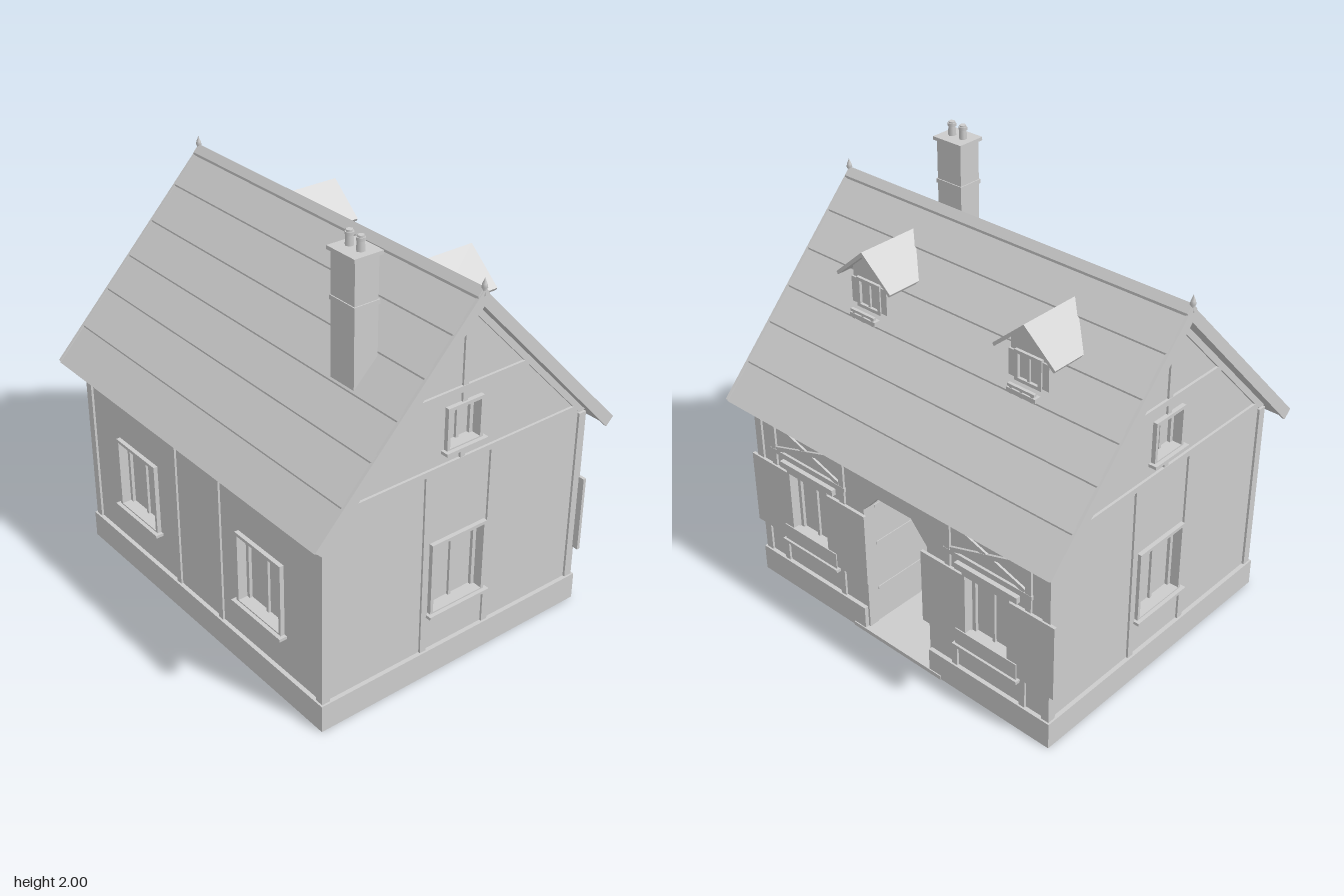
import * as THREE from 'three';

const stone = new THREE.MeshStandardMaterial({ color: 0xcccccc });
stone.name = 'pale grey';

function add(parent, name, geometry, x = 0, y = 0, z = 0) {
  const m = new THREE.Mesh(geometry, stone);
  m.name = name;
  m.position.set(x, y, z);
  parent.add(m);
  return m;
}

// Box given by its limits on each axis
function block(parent, name, x0, x1, y0, y1, z0, z1) {
  return add(parent, name, new THREE.BoxGeometry(x1 - x0, y1 - y0, z1 - z0),
    (x0 + x1) / 2, (y0 + y1) / 2, (z0 + z1) / 2);
}

function extrude(points, depth, holes = []) {
  const toVectors = list => list.map(p => new THREE.Vector2(p[0], p[1]));
  const shape = new THREE.Shape(toVectors(points));
  for (const h of holes) shape.holes.push(new THREE.Path(toVectors(h)));
  return new THREE.ExtrudeGeometry(shape, { depth, bevelEnabled: false });
}

const rect = (x0, x1, y0, y1) => [[x0, y0], [x1, y0], [x1, y1], [x0, y1]];

// Diagonal or straight timber between two points on a wall
function beam(parent, name, a, b, width, z0, z1) {
  const dx = b[0] - a[0], dy = b[1] - a[1];
  const m = add(parent, name, new THREE.BoxGeometry(Math.hypot(dx, dy), width, z1 - z0),
    (a[0] + b[0]) / 2, (a[1] + b[1]) / 2, (z0 + z1) / 2);
  m.rotation.z = Math.atan2(dy, dx);
}

// Each wall is built facing +z with its outer surface at local z = 0
function wallSide(house, name, angle, distance, outline, holes) {
  const g = new THREE.Group();
  g.name = name;
  g.rotation.y = angle;
  g.position.set(Math.sin(angle) * distance, 0, Math.cos(angle) * distance);
  add(g, 'wall', extrude(outline, 0.05, holes), 0, 0, -0.05);
  house.add(g);
  return g;
}

// Recessed panes with mullion, surround and sill
function addWindow(parent, u, half, y0, y1, sill = true) {
  const g = new THREE.Group();
  g.name = 'window';
  g.position.x = u;
  block(g, 'panes', -half, half, y0, y1, -0.05, -0.04);
  block(g, 'mullion', -0.007, 0.007, y0, y1, -0.04, -0.028);
  for (const s of [-1, 1]) {
    const e = s * half;
    block(g, 'casement', Math.min(e, e - s * 0.018), Math.max(e, e - s * 0.018), y0, y1, -0.04, -0.025);
  }
  const f = 0.015;
  add(g, 'surround', extrude(rect(-half - f, half + f, y0 - f, y1 + f), 0.025, [rect(-half, half, y0, y1)]), 0, 0, -0.005);
  if (sill) block(g, 'sill', -half - 0.03, half + 0.03, y0 - 0.02, y0 - 0.006, -0.02, 0.038);
  parent.add(g);
}

const SLOPE = 1.05;
const outer = z => 1.79 - SLOPE * z;
const inner = z => 1.73 - SLOPE * z;
const mirrored = half => [...half, ...half.slice().reverse().filter(p => p[0] > 0).map(p => [-p[0], p[1]])];

function buildWalls(house) {
  // Front wall
  const frontWindows = [-0.465, 0.455];
  const front = wallSide(house, 'frontWall', 0, 0.7, rect(-0.86, 0.86, 0, 0.99),
    frontWindows.map(u => rect(u - 0.14, u + 0.14, 0.325, 0.65)));
  frontWindows.forEach(u => addWindow(front, u, 0.14, 0.325, 0.65));
  for (const u of [-0.165, 0.16]) block(front, 'post', u - 0.016, u + 0.016, 0.1, 0.985, -0.01, 0.01);

  // Gable walls
  const gable = [[-0.7, 0], [0.7, 0], [0.7, 1.74 - SLOPE * 0.7], [0, 1.74], [-0.7, 1.74 - SLOPE * 0.7]];
  for (const s of [1, -1]) {
    const g = wallSide(house, s > 0 ? 'leftGable' : 'rightGable', s * Math.PI / 2, 0.86, gable,
      [rect(-0.135, 0.135, 0.325, 0.65), rect(-0.08, 0.08, 1.1, 1.27)]);
    addWindow(g, 0, 0.135, 0.325, 0.65);
    addWindow(g, 0, 0.08, 1.1, 1.27);
    for (const u of [-0.175, 0.175]) block(g, 'post', u - 0.016, u + 0.016, 0.1, 1.005, -0.01, 0.01);
    block(g, 'tieBeam', -0.7, 0.7, 1.003, 1.03, -0.01, 0.012);
    block(g, 'collarBeam', -0.36, 0.36, 1.33, 1.357, -0.01, 0.012);
    block(g, 'kingPost', -0.013, 0.013, 1.285, 1.7, -0.01, 0.01);
    block(g, 'shortPost', -0.013, 0.013, 1.03, 1.08, -0.01, 0.01);
    add(g, 'rafters', extrude([[0.7, 0.995], [0, 1.73], [-0.7, 0.995], [-0.662, 0.995], [0, 1.69], [0.662, 0.995]], 0.022), 0, 0, -0.01);
  }

  // Back wall with a chamfered doorway
  const door = [[-0.19, 0.02], [0.19, 0.02], [0.19, 0.67], [0.1, 0.77], [-0.1, 0.77], [-0.19, 0.67]];
  const back = wallSide(house, 'backWall', Math.PI, 0.7, rect(-0.86, 0.86, 0, 0.99),
    [door, ...[-0.535, 0.535].map(u => rect(u - 0.115, u + 0.115, 0.34, 0.65))]);
  block(back, 'topRail', -0.86, 0.86, 0.875, 0.905, -0.01, 0.012);
  for (const s of [-1, 1]) {
    const c = s * 0.535;
    addWindow(back, c, 0.115, 0.34, 0.65, false);
    block(back, 'windowHood', c - 0.17, c + 0.17, 0.665, 0.695, -0.01, 0.022);
    block(back, 'planter', c - 0.17, c + 0.17, 0.27, 0.35, -0.01, 0.025);
    block(back, 'planterShelf', c - 0.18, c + 0.18, 0.255, 0.27, -0.01, 0.036);
    block(back, 'braceRail', c - 0.24, c + 0.24, 0.715, 0.735, -0.01, 0.012);
    beam(back, 'crossBrace', [c - 0.2, 0.74], [c + 0.2, 0.87], 0.022, -0.005, 0.012);
    beam(back, 'crossBrace', [c - 0.2, 0.87], [c + 0.2, 0.74], 0.022, -0.005, 0.01);
    for (const e of [-1, 1]) {
      const h = c + e * 0.24;
      block(back, 'shutter', h - 0.125, h + 0.125, 0.28, 0.65, 0.005, 0.02);
      block(back, 'upperStud', c + e * 0.22 - 0.015, c + e * 0.22 + 0.015, 0.65, 0.98, -0.01, 0.011);
      block(back, 'lowerStud', c + e * 0.19 - 0.015, c + e * 0.19 + 0.015, 0.13, 0.28, -0.01, 0.011);
    }
    // Door leaf standing open into the room
    const x = s * 0.2;
    block(back, 'doorLeaf', x - 0.01, x + 0.01, 0.025, 0.76, -0.38, -0.05);
    for (const y of [0.2, 0.45, 0.65])
      block(back, 'doorBatten', x - 0.014, x + 0.014, y, y + 0.015, -0.37, -0.06);
  }
  block(back, 'doorStep', -0.27, 0.27, 0, 0.02, -0.05, 0.025);

  // Corner posts, floor and plinth
  for (const sx of [-1, 1]) for (const sz of [-1, 1])
    add(house, 'cornerPost', new THREE.BoxGeometry(0.04, 0.88, 0.04), sx * 0.851, 0.54, sz * 0.691);
  block(house, 'floor', -0.87, 0.87, 0, 0.02, -0.71, 0.71);
  block(house, 'plinthFront', -0.88, 0.88, 0, 0.13, 0.68, 0.72);
  for (const s of [-1, 1]) {
    add(house, 'plinthSide', new THREE.BoxGeometry(0.04, 0.13, 1.44), s * 0.86, 0.065, 0);
    add(house, 'plinthBack', new THREE.BoxGeometry(0.68, 0.13, 0.04), s * 0.54, 0.065, -0.7);
  }
}

function buildRoof(house) {
  const roof = new THREE.Group();
  roof.name = 'roof';
  const across = (name, points, length, x) => {
    add(roof, name, extrude(points, length), x - length / 2, 0, 0).rotation.y = Math.PI / 2;
  };
  // Stepped courses, each standing slightly over the next
  const top = [[0, 1.79]];
  for (const z of [0.143, 0.276, 0.405, 0.529, 0.667]) top.push([z, outer(z) + 0.008], [z, outer(z)]);
  const profile = [...top, [0.8, 0.95], [0.765, inner(0.765)]];
  const left = profile.slice(1).reverse().map(p => [-p[0], p[1]]);
  across('courses', [...profile, [0, 1.73], ...left], 1.87, 0);
  const verge = mirrored([[0, 1.795], [0.8, 0.957], [0.762, 0.92]]);
  const chevron = [verge[0], verge[1], verge[2], [0, 1.725], verge[3], verge[4]];
  for (const s of [-1, 1]) across('bargeBoard', chevron, 0.014, s * 0.938);
  across('ridgeCap', [[0, 1.805], [0.03, 1.772], [0.03, 1.755], [-0.03, 1.755], [-0.03, 1.772]], 1.88, 0);

  // Finials
  const bulb = [[0, 0], [0.007, 0], [0.005, 0.02], [0.013, 0.035], [0.01, 0.05], [0, 0.075]]
    .map(p => new THREE.Vector2(p[0], p[1]));
  for (const s of [-1, 1]) add(roof, 'finial', new THREE.LatheGeometry(bulb, 8), s * 0.94, 1.768, 0);
  house.add(roof);
}

function buildDormer(house, x) {
  const g = new THREE.Group();
  g.name = 'dormer';
  g.position.x = x;
  // Small gabled body
  add(g, 'dormerBody', extrude([[-0.1, 1.36], [0.1, 1.36], [0.1, 1.59], [0, 1.675], [-0.1, 1.59]], 0.27), 0, 0, -0.36);
  // Two roof slopes running back into the main roof
  add(g, 'dormerRoof', extrude([[0, 1.695], [-0.162, 1.553], [-0.154, 1.54], [0, 1.673], [0.154, 1.54], [0.162, 1.553]], 0.32), 0, 0, -0.4);
  // Window surround, mullion and flower box
  add(g, 'dormerFrame', extrude(rect(-0.07, 0.07, 1.41, 1.55), 0.015, [rect(-0.052, 0.052, 1.425, 1.535)]), 0, 0, -0.374);
  block(g, 'dormerMullion', -0.006, 0.006, 1.425, 1.535, -0.37, -0.355);
  for (const s of [-1, 1]) block(g, 'dormerShutter', s * 0.088 - 0.017, s * 0.088 + 0.017, 1.42, 1.54, -0.368, -0.355);
  block(g, 'flowerBox', -0.075, 0.075, 1.375, 1.395, -0.415, -0.35);
  block(g, 'flowerBoxRail', -0.07, 0.07, 1.402, 1.414, -0.415, -0.4);
  for (const u of [-0.055, 0, 0.055]) block(g, 'railPost', u - 0.007, u + 0.007, 1.37, 1.405, -0.413, -0.402);
  house.add(g);
}

function buildChimney(house) {
  const g = new THREE.Group();
  g.name = 'chimney';
  g.position.set(0.598, 0, 0.34);
  block(g, 'stack', -0.071, 0.071, 1.37, 1.925, -0.058, 0.058);
  block(g, 'band', -0.076, 0.076, 1.715, 1.735, -0.063, 0.063);
  block(g, 'cap', -0.083, 0.083, 1.92, 1.936, -0.07, 0.07);
  for (const s of [-1, 1]) {
    add(g, 'pot', new THREE.CylinderGeometry(0.015, 0.019, 0.064, 6), s * 0.033, 1.968, 0);
    add(g, 'potRim', new THREE.CylinderGeometry(0.02, 0.02, 0.014, 6), s * 0.033, 1.985, 0);
  }
  house.add(g);
}

export function createModel() {
  const house = new THREE.Group();
  house.name = 'cottage';
  buildWalls(house);
  buildRoof(house);
  for (const s of [-1, 1]) buildDormer(house, s * 0.448);
  buildChimney(house);
  return house;
}
